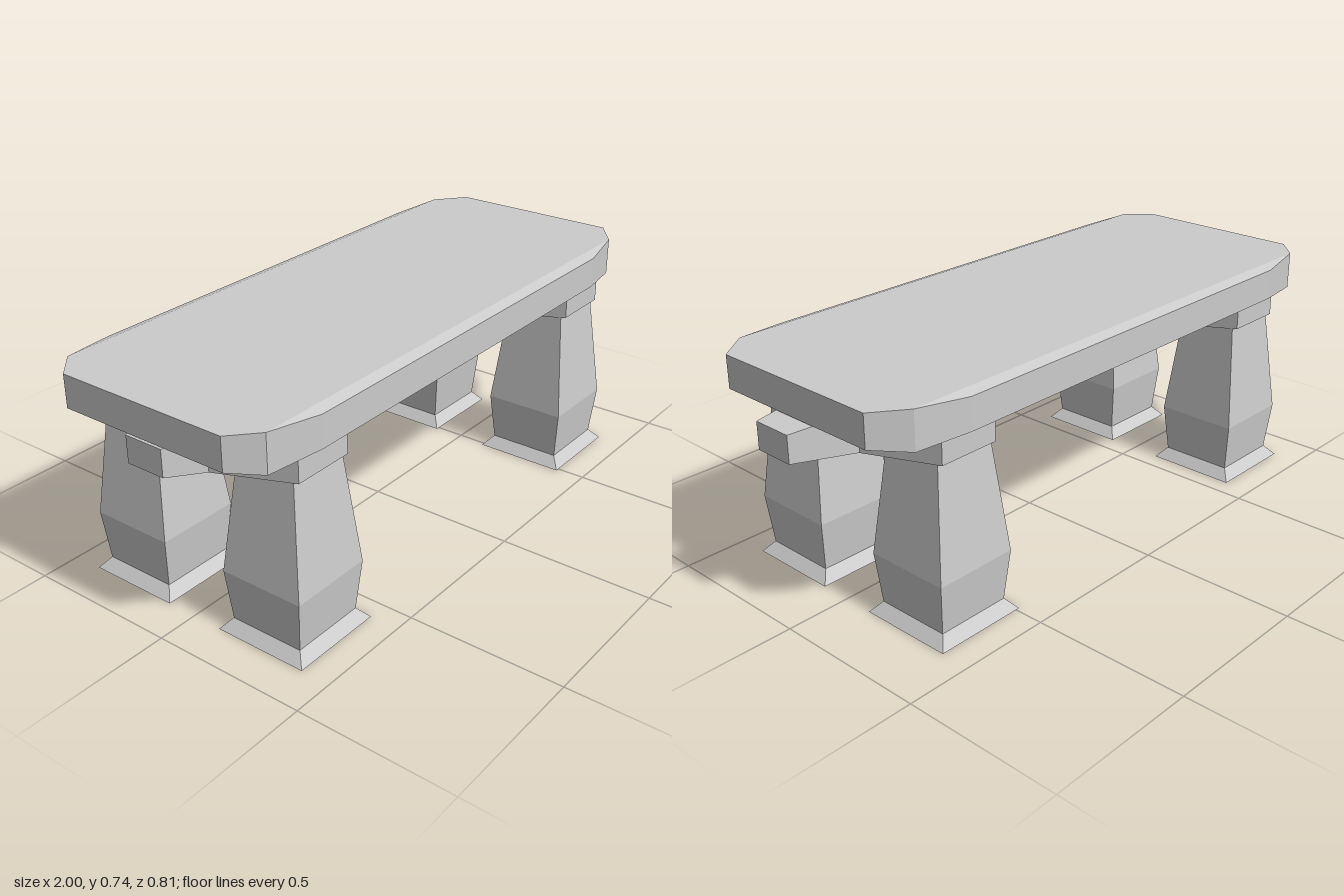
import * as THREE from 'three';
import { ConvexGeometry } from 'three/addons/geometries/ConvexGeometry.js';

const material = new THREE.MeshStandardMaterial({ color: 0xcccccc, flatShading: true });
const v = (x, y, z) => new THREE.Vector3(x, y, z);

function addMesh(group, name, geometry) {
  const mesh = new THREE.Mesh(geometry, material);
  mesh.name = name;
  group.add(mesh);
  return mesh;
}

// Bench slab: clipped corners, softly worn upper and lower edges
function slabGeometry() {
  // [left x, right x, half depth, bottom y, top y]
  const rows = [
    [-1, 0.93, 0.288, 0.632, 0.735],
    [-0.92, 0.83, 0.364, 0.615, 0.736],
    [-0.745, 0.66, 0.398, 0.625, 0.725],
  ];
  const points = [];
  for (const [left, right, depth, bottom, top] of rows)
    for (const x of [left, right])
      for (const y of [bottom, top])
        for (const side of [-1, 1]) points.push(v(x, y, side * depth - 0.005));
  return new ConvexGeometry(points);
}

// Beam with tapered ends; stations are [position, half width, bottom y, top y]
function beamGeometry(stations, alongX) {
  const points = [];
  for (const [p, half, bottom, top] of stations)
    for (const y of [bottom, top])
      for (const s of [-half, half]) points.push(alongX ? v(p, y, s) : v(s, y, p));
  return new ConvexGeometry(points);
}

// Square leg with a swollen middle and a flared foot
function legGeometry() {
  const profile = [[0, 0], [0.153, 0], [0.122, 0.035], [0.137, 0.195], [0.098, 0.56], [0, 0.56]];
  const points = profile.map(([half, y]) => new THREE.Vector2(half * Math.SQRT2, y));
  return new THREE.LatheGeometry(points, 4, Math.PI / 4);
}

export function createModel() {
  const model = new THREE.Group();
  model.name = 'bench';

  addMesh(model, 'seatSlab', slabGeometry());

  // Long beam poking out past both pairs of legs
  addMesh(model, 'longBeam', beamGeometry([
    [-1, 0.065, 0.54, 0.625],
    [-0.87, 0.1, 0.51, 0.635],
    [0.79, 0.1, 0.51, 0.635],
    [1, 0.065, 0.54, 0.625],
  ], true));

  // Cross beams, each resting on a front and a back leg
  const cross = beamGeometry([
    [-0.37, 0.1, 0.543, 0.62],
    [-0.1, 0.152, 0.51, 0.624],
    [0.1, 0.152, 0.51, 0.624],
    [0.37, 0.1, 0.546, 0.62],
  ], false);
  const leg = legGeometry();
  for (const [side, x] of [['right', -0.718], ['left', 0.64]]) {
    addMesh(model, side + 'CrossBeam', cross).position.x = x;
    for (const [end, z] of [['Front', 0.252], ['Back', -0.252]])
      addMesh(model, side + end + 'Leg', leg).position.set(x, 0, z);
  }
  return model;
}
